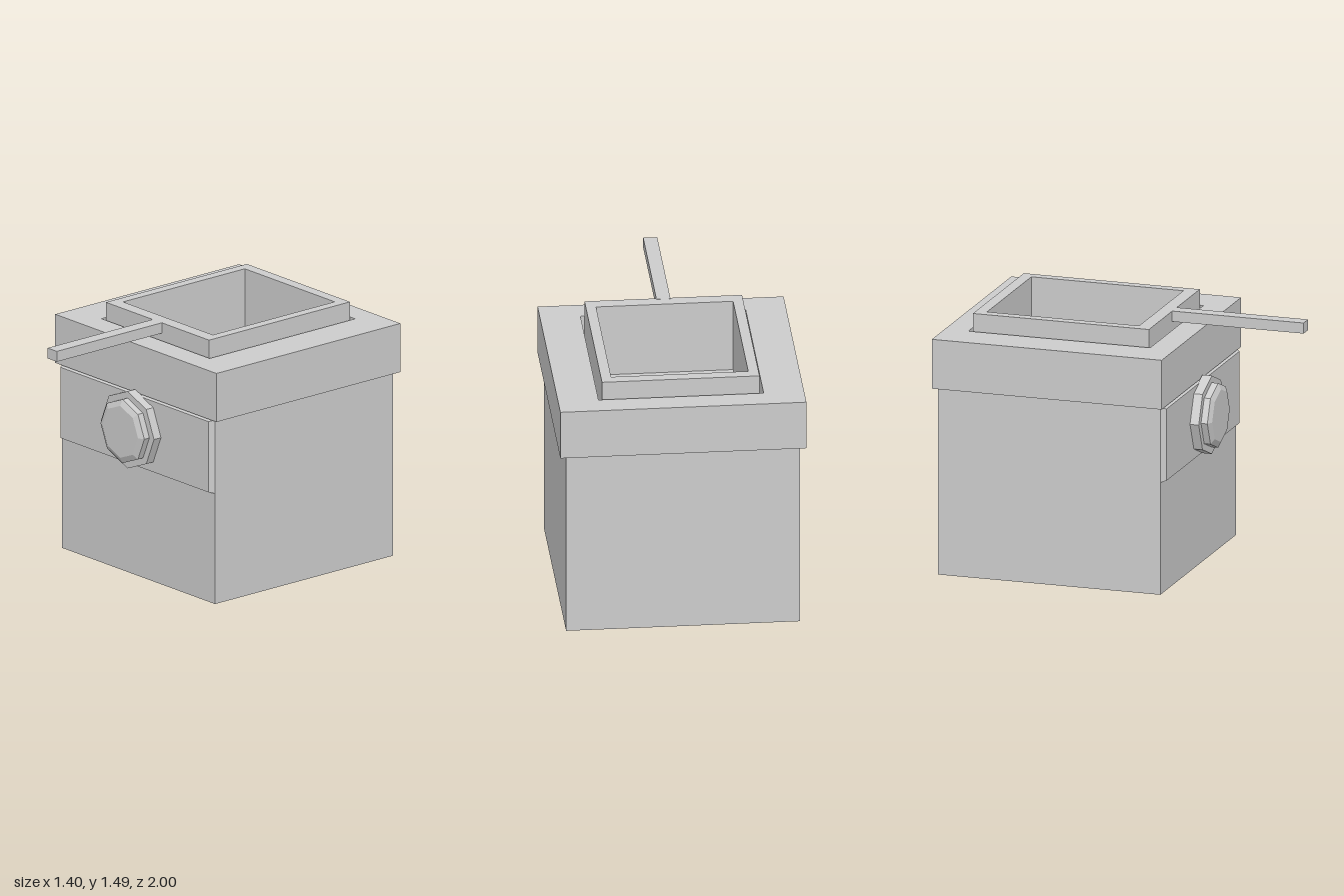
import * as THREE from 'three';

const material = new THREE.MeshStandardMaterial({ color: 0xcccccc, flatShading: true });

// Skin a row of rectangles [x0, x1, z0, z1, y], optionally closing both ends
function rectLoft(rects, capped = true) {
  const loops = rects.map(([x0, x1, z0, z1, y]) => [[x0, y, z0], [x0, y, z1], [x1, y, z1], [x1, y, z0]]);
  const pos = [];
  const quad = (a, b, c, d) => pos.push(...a, ...b, ...c, ...a, ...c, ...d);
  for (let k = 0; k < loops.length - 1; k++) {
    const lo = loops[k], hi = loops[k + 1];
    for (let i = 0; i < 4; i++) {
      const j = (i + 1) % 4;
      quad(lo[i], lo[j], hi[j], hi[i]);
    }
  }
  if (capped) {
    const [a, b, c, d] = loops[0];
    quad(d, c, b, a);
    quad(...loops[loops.length - 1]);
  }
  const geo = new THREE.BufferGeometry();
  geo.setAttribute('position', new THREE.Float32BufferAttribute(pos, 3));
  geo.computeVertexNormals();
  return geo;
}

export function createModel() {
  const model = new THREE.Group();
  model.name = 'fryer';
  const add = (name, geometry, parent = model) => {
    const mesh = new THREE.Mesh(geometry, material);
    mesh.name = name;
    parent.add(mesh);
    return mesh;
  };

  // Plan outlines: x0, x1, z0, z1
  const bodyPlan = [-0.665, 0.665, -0.975, 0.355];
  const rimPlan = [-0.7, 0.7, -1, 0.375];
  const wellPlan = [-0.47, 0.47, -0.86, 0.228];
  const basketPlan = [-0.448, 0.448, -0.84, 0.213];
  const insidePlan = [-0.39, 0.39, -0.775, 0.135];

  // Body with the bottom of the well sunk into its top
  add('body', rectLoft([[...bodyPlan, 0], [...bodyPlan, 1.1], [...wellPlan, 1.1], [...wellPlan, 1]]));

  // Thick overhanging rim around the well
  add('topRim', rectLoft([
    [...wellPlan, 1.1], [...rimPlan, 1.1], [...rimPlan, 1.39], [...wellPlan, 1.39], [...wellPlan, 1.1],
  ], false));

  // Open basket and its long handle
  const basket = new THREE.Group();
  basket.name = 'basket';
  model.add(basket);
  add('basketTub', rectLoft([
    [...basketPlan, 1.01], [...basketPlan, 1.49], [...insidePlan, 1.49], [...insidePlan, 1.06],
  ]), basket);
  add('basketHandle', new THREE.BoxGeometry(0.08, 0.062, 0.8), basket).position.set(0, 1.46, 0.6);

  // Bevelled control panel, lofted upwards then tipped to face the front
  const panel = rectLoft([[-0.665, 0.665, -1.1, -0.66, 0.355], [-0.643, 0.643, -1.09, -0.668, 0.385]]);
  add('controlPanel', panel.rotateX(Math.PI / 2));

  // Eight-sided dial: wide collar, narrower knob, chamfered face
  const profile = [[0, 0.38], [0.23, 0.38], [0.23, 0.437], [0.19, 0.437], [0.19, 0.475], [0.155, 0.492], [0, 0.492]]
    .map(([r, h]) => new THREE.Vector2(r, h));
  const dial = new THREE.LatheGeometry(profile, 8).rotateX(Math.PI / 2);
  add('dial', dial).position.y = 0.89;

  return model;
}
